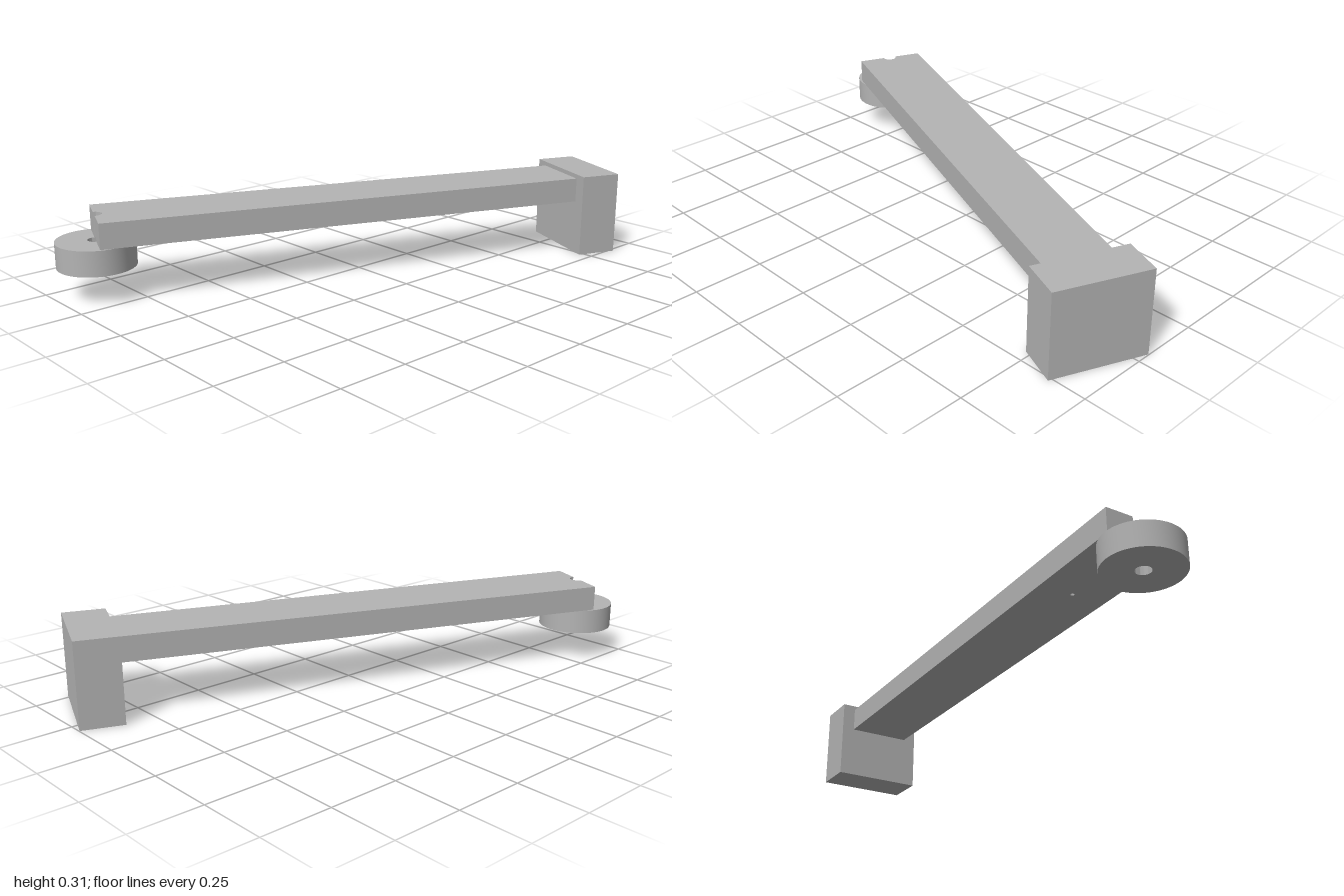
import * as THREE from 'three';
import { toCreasedNormals } from 'three/addons/utils/BufferGeometryUtils.js';

const gray = new THREE.MeshStandardMaterial({ color: 0xb4b4b4 });
gray.name = 'plain gray';

// Extrudes a plan outline upward from y0 to y1, smooth on curved walls
function slab(name, shape, y0, y1) {
  const geo = new THREE.ExtrudeGeometry(shape, { depth: y1 - y0, bevelEnabled: false, curveSegments: 32 });
  geo.rotateX(-Math.PI / 2).translate(0, y0, 0);
  const mesh = new THREE.Mesh(toCreasedNormals(geo, 0.6), gray);
  mesh.name = name;
  return mesh;
}

function circle(x, r, Type = THREE.Path) {
  return new Type().absarc(x, 0, r, 0, Math.PI * 2, false);
}

export function createModel() {
  const model = new THREE.Group();
  model.name = 'pivotArm';
  const bore = 0.027, pinX = 0.357, pinR = 0.007;

  // Arm: slightly tapered bar with a half-round notch at the pivot
  const bar = new THREE.Shape();
  bar.moveTo(0, -0.128);
  bar.lineTo(1.793, -0.119);
  bar.lineTo(1.793, 0.119);
  bar.lineTo(0, 0.128);
  bar.lineTo(0, bore);
  bar.absarc(0, 0, bore, Math.PI / 2, -Math.PI / 2, true);
  bar.closePath();
  bar.holes.push(circle(pinX, pinR));
  model.add(slab('arm', bar, 0.2, 0.29));

  // Fills the top of the small pin hole so it opens only underneath
  model.add(slab('pinHoleEnd', circle(pinX, pinR, THREE.Shape), 0.24, 0.29));

  // Pivot disc with a through hole
  const disc = circle(0, 0.136, THREE.Shape);
  disc.holes.push(circle(0, bore));
  model.add(slab('pivotDisc', disc, 0.11, 0.2));

  // End block
  const block = new THREE.Mesh(new THREE.BoxGeometry(0.151, 0.306, 0.337), gray);
  block.name = 'endBlock';
  block.position.set(1.867, 0.153, 0);
  model.add(block);

  // The whole arm lies diagonally
  model.rotation.y = -THREE.MathUtils.degToRad(22.2);
  model.position.set(-0.864, 0, -0.376);
  const root = new THREE.Group();
  root.add(model);
  return root;
}
